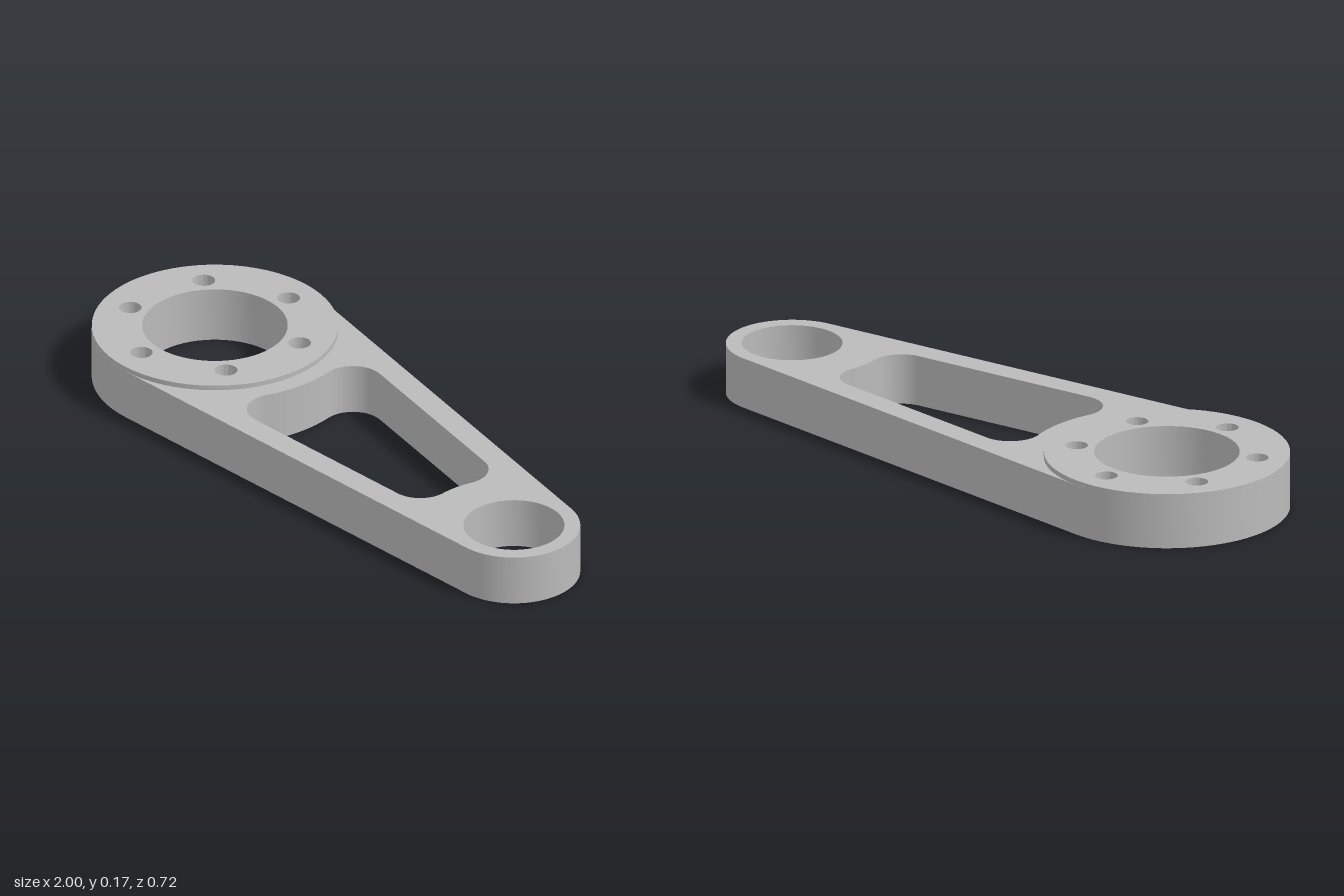
import * as THREE from 'three';
import { toCreasedNormals } from 'three/addons/utils/BufferGeometryUtils.js';

// Main dimensions: large hub on the right (-x), small hub on the left (+x)
const BIG = { x: -0.641, r: 0.359, bore: 0.212 };
const SMALL = { x: 0.807, r: 0.193, bore: 0.147 };
const ARM_HEIGHT = 0.153, TOTAL_HEIGHT = 0.168;

const slope = Math.asin((BIG.r - SMALL.r) / (SMALL.x - BIG.x));
const phi = Math.PI / 2 - slope; // direction of the tangent edge's normal

function circle(x, y, r) {
  return new THREE.Path().absarc(x, y, r, 0, Math.PI * 2, false);
}

// Central bore plus six bolt holes
function hubHoles() {
  const holes = [circle(BIG.x, 0, BIG.bore)];
  for (let i = 0; i < 6; i++) {
    const a = Math.PI / 6 + i * Math.PI / 3;
    holes.push(circle(BIG.x + 0.268 * Math.cos(a), 0.268 * Math.sin(a), 0.033));
  }
  return holes;
}

// Window: arcs concentric with the hubs, edges parallel to the arm, filleted corners
function windowPath() {
  const wall = 0.077, f = 0.09, bigR = 0.415, smallR = 0.28;
  const corner = (hub, R, side) => {
    const h = hub.r - wall - f;
    const s = side * Math.sqrt((R + f) ** 2 - h * h);
    const dx = h * Math.sin(slope) + s * Math.cos(slope);
    const dy = h * Math.cos(slope) - s * Math.sin(slope);
    return { x: hub.x + dx, y: dy, angle: Math.atan2(dy, dx) };
  };
  const L = corner(BIG, bigR, 1), R = corner(SMALL, smallR, -1);
  const b = L.angle, g = R.angle, PI = Math.PI;
  const p = new THREE.Path();
  p.absarc(BIG.x, 0, bigR, b, -b, true);
  p.absarc(L.x, -L.y, f, PI - b, 2 * PI - phi, false);
  p.absarc(R.x, -R.y, f, -phi, PI - g, false);
  p.absarc(SMALL.x, 0, smallR, 2 * PI - g, g, true);
  p.absarc(R.x, R.y, f, g - PI, phi, false);
  p.absarc(L.x, L.y, f, phi, PI + b, false);
  p.closePath();
  return p;
}

// Extrude a plan shape upward from height y
function slab(shape, y, height, material, name) {
  const geo = new THREE.ExtrudeGeometry(shape, { depth: height, bevelEnabled: false, curveSegments: 32 });
  geo.rotateX(-Math.PI / 2);
  geo.translate(0, y, 0);
  const mesh = new THREE.Mesh(toCreasedNormals(geo, 0.5), material);
  mesh.name = name;
  return mesh;
}

export function createModel() {
  const metal = new THREE.MeshStandardMaterial({ color: 0xbababa });
  metal.name = 'grey metal';
  const group = new THREE.Group();
  group.name = 'linkArm';

  // Tapered arm body
  const body = new THREE.Shape();
  body.absarc(BIG.x, 0, BIG.r, phi, 2 * Math.PI - phi, false);
  body.absarc(SMALL.x, 0, SMALL.r, -phi, phi, false);
  body.closePath();
  body.holes.push(...hubHoles(), circle(SMALL.x, 0, SMALL.bore), windowPath());
  group.add(slab(body, 0, ARM_HEIGHT, metal, 'armBody'));

  // Raised ring on the large hub
  const ring = new THREE.Shape();
  ring.absarc(BIG.x, 0, BIG.r, 0, Math.PI * 2, false);
  ring.holes.push(...hubHoles());
  group.add(slab(ring, ARM_HEIGHT, TOTAL_HEIGHT - ARM_HEIGHT, metal, 'hubRing'));

  return group;
}
